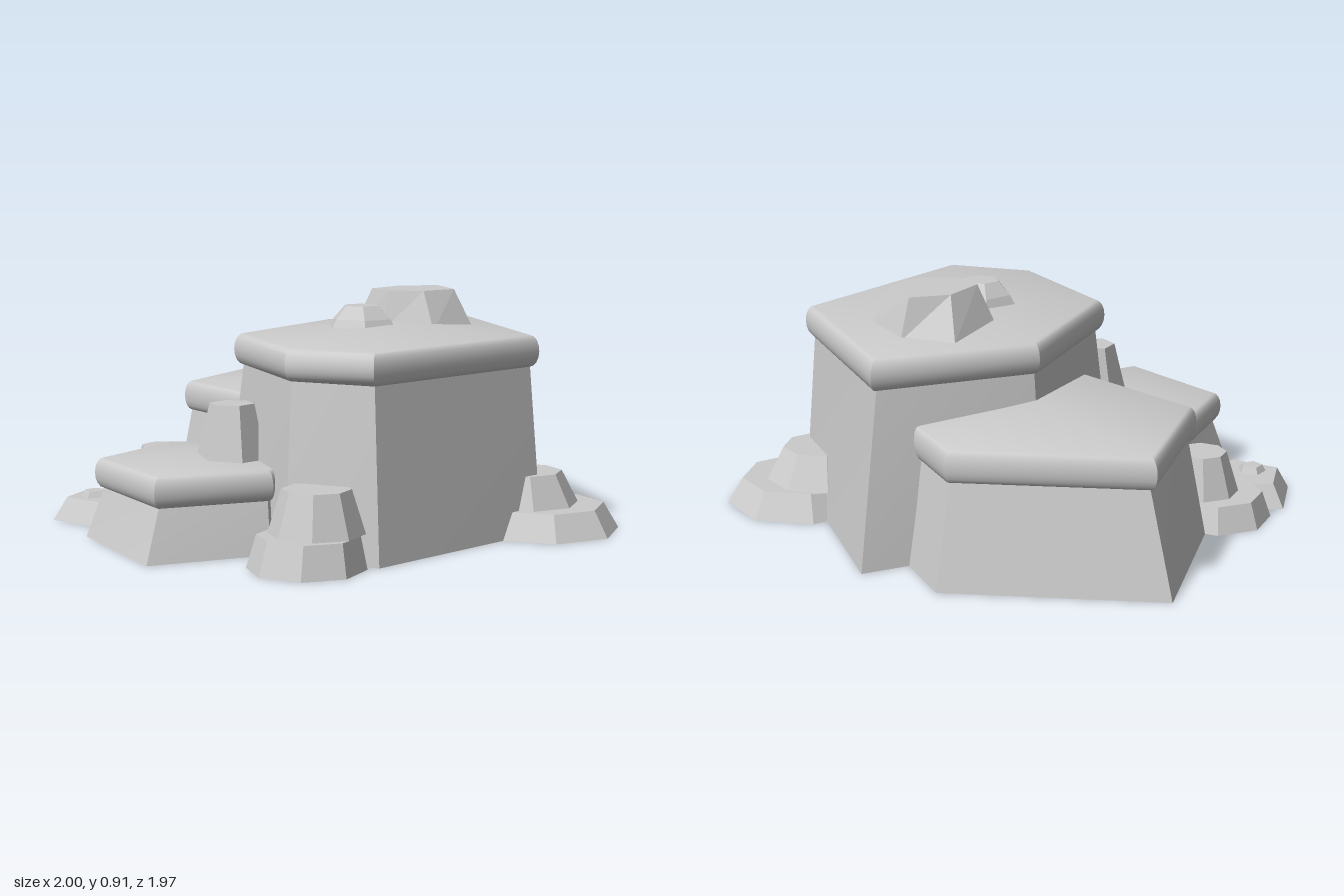
import * as THREE from 'three';
import { toCreasedNormals } from 'three/addons/utils/BufferGeometryUtils.js';

// Rings of [x, y, z] points (clockwise seen from above), joined by quads and closed by fans
function loft(rings, apex) {
  const pos = [];
  const tri = (...pts) => pts.forEach((p) => pos.push(...p));
  const n = rings[0].length;
  const mean = (r) => [0, 1, 2].map((k) => r.reduce((s, p) => s + p[k], 0) / n);
  const low = mean(rings[0]);
  const last = rings[rings.length - 1];
  const high = apex || mean(last);
  for (let i = 0; i < n; i++) {
    const j = (i + 1) % n;
    for (let k = 0; k < rings.length - 1; k++) {
      const a = rings[k], b = rings[k + 1];
      tri(a[j], a[i], b[i]);
      tri(a[j], b[i], b[j]);
    }
    tri(low, rings[0][i], rings[0][j]);
    tri(high, last[j], last[i]);
  }
  const geo = new THREE.BufferGeometry();
  geo.setAttribute('position', new THREE.Float32BufferAttribute(pos, 3));
  return geo;
}

const level = (pts, y) => pts.map(([x, z]) => [x, y, z]);

function part(name, geo, flat) {
  const mat = new THREE.MeshStandardMaterial({ color: 0xcccccc, flatShading: flat });
  if (flat) geo.computeVertexNormals();
  const mesh = new THREE.Mesh(flat ? geo : toCreasedNormals(geo, 0.6), mat);
  mesh.name = name;
  return mesh;
}

// Tapered wall, rounded rim bulging outwards, shallow conical top
function mesa(name, base, rim, y0, y1, apex, bulge) {
  const [cx, top, cz] = apex;
  const rings = [level(base, 0)];
  const steps = 8;
  for (let k = 0; k <= steps; k++) {
    const a = (k / steps - 0.5) * Math.PI;
    const s = 1 - bulge * (1 - Math.cos(a));
    const y = (y0 + y1) / 2 + ((y1 - y0) / 2) * Math.sin(a);
    rings.push(level(rim.map(([x, z]) => [cx + (x - cx) * s, cz + (z - cz) * s]), y));
  }
  return part(name, loft(rings, [cx, top, cz]), false);
}

// Faceted rock from regular rings given as [x, z, radius, y]
function rock(name, sides, turn, ...levels) {
  const rings = levels.map(([x, z, r, y]) => Array.from({ length: sides }, (_, i) => {
    const a = turn + (i / sides) * Math.PI * 2;
    return [x + r * Math.cos(a), y, z + r * Math.sin(a)];
  }));
  return part(name, loft(rings), true);
}

export function createModel() {
  const g = new THREE.Group();
  g.name = 'rockFormation';

  // Three flat-topped plateaus
  g.add(mesa('tallPlateau',
    [[0.07, -0.98], [0.74, -0.38], [0.62, 0.5], [0.27, 0.6], [-0.27, 0.31], [-0.35, -0.4]],
    [[0.08, -0.88], [0.725, -0.37], [0.6, 0.51], [0.26, 0.585], [-0.24, 0.28], [-0.325, -0.39]],
    0.64, 0.76, [0.21, 0.8, -0.12], 0.06));
  g.add(mesa('middlePlateau',
    [[-1, -0.66], [-0.25, -0.99], [0.25, -0.62], [0.12, 0.3], [-0.83, -0.02]],
    [[-0.92, -0.635], [-0.25, -0.93], [0.2, -0.6], [0.1, 0.25], [-0.79, -0.04]],
    0.38, 0.5, [-0.3, 0.54, -0.38], 0.05));
  g.add(mesa('lowPlateau',
    [[-0.63, 0.25], [-0.58, 0.75], [-0.05, 0.98], [0.18, 0.57], [0.05, 0.18], [-0.42, 0.08]].reverse(),
    [[-0.605, 0.25], [-0.55, 0.73], [-0.06, 0.925], [0.17, 0.54], [0.05, 0.2], [-0.42, 0.1]].reverse(),
    0.19, 0.305, [-0.22, 0.335, 0.48], 0.08));

  // Stepped boulders around the foot
  g.add(rock('backRightBoulder', 8, 0.05,
    [0.7, -0.45, 0.3, 0], [0.7, -0.45, 0.24, 0.1], [0.63, -0.43, 0.21, 0.1], [0.63, -0.42, 0.15, 0.225]));
  g.add(rock('leftBoulder', 8, 0.3,
    [-0.78, 0.175, 0.215, 0], [-0.78, 0.175, 0.18, 0.1], [-0.73, 0.16, 0.14, 0.1], [-0.73, 0.15, 0.095, 0.26]));
  g.add(rock('frontRightBoulder', 8, 0.2,
    [0.42, 0.66, 0.215, 0], [0.42, 0.65, 0.185, 0.12], [0.425, 0.61, 0.175, 0.12], [0.425, 0.61, 0.125, 0.28]));

  // Low pentagonal slab with a small knob
  g.add(rock('leftSlab', 5, Math.PI * 0.3,
    [-0.78, 0.435, 0.215, 0], [-0.78, 0.435, 0.16, 0.09]));
  g.add(rock('slabKnob', 5, 0.1, [-0.8, 0.48, 0.06, 0.085], [-0.8, 0.48, 0.042, 0.115]));

  // Leaning stone on the low plateau
  g.add(rock('leaningStone', 6, Math.PI / 6,
    [-0.1, 0.465, 0.135, 0.3], [-0.105, 0.45, 0.085, 0.52]));

  // Stones on the tall plateau
  g.add(part('largeTopStone', loft([
    level([[-0.065, -0.55], [0.13, -0.61], [0.36, -0.46], [0.32, -0.25], [0.14, -0.17], [-0.06, -0.25]], 0.76),
    level([[0.02, -0.44], [0.13, -0.55], [0.29, -0.43], [0.25, -0.28], [0.13, -0.21], [0.015, -0.26]], 0.91),
  ]), true));
  g.add(rock('smallTopStone', 6, 0.85,
    [0.13, -0.045, 0.14, 0.78], [0.13, -0.045, 0.12, 0.815], [0.13, -0.04, 0.07, 0.865]));
  return g;
}
